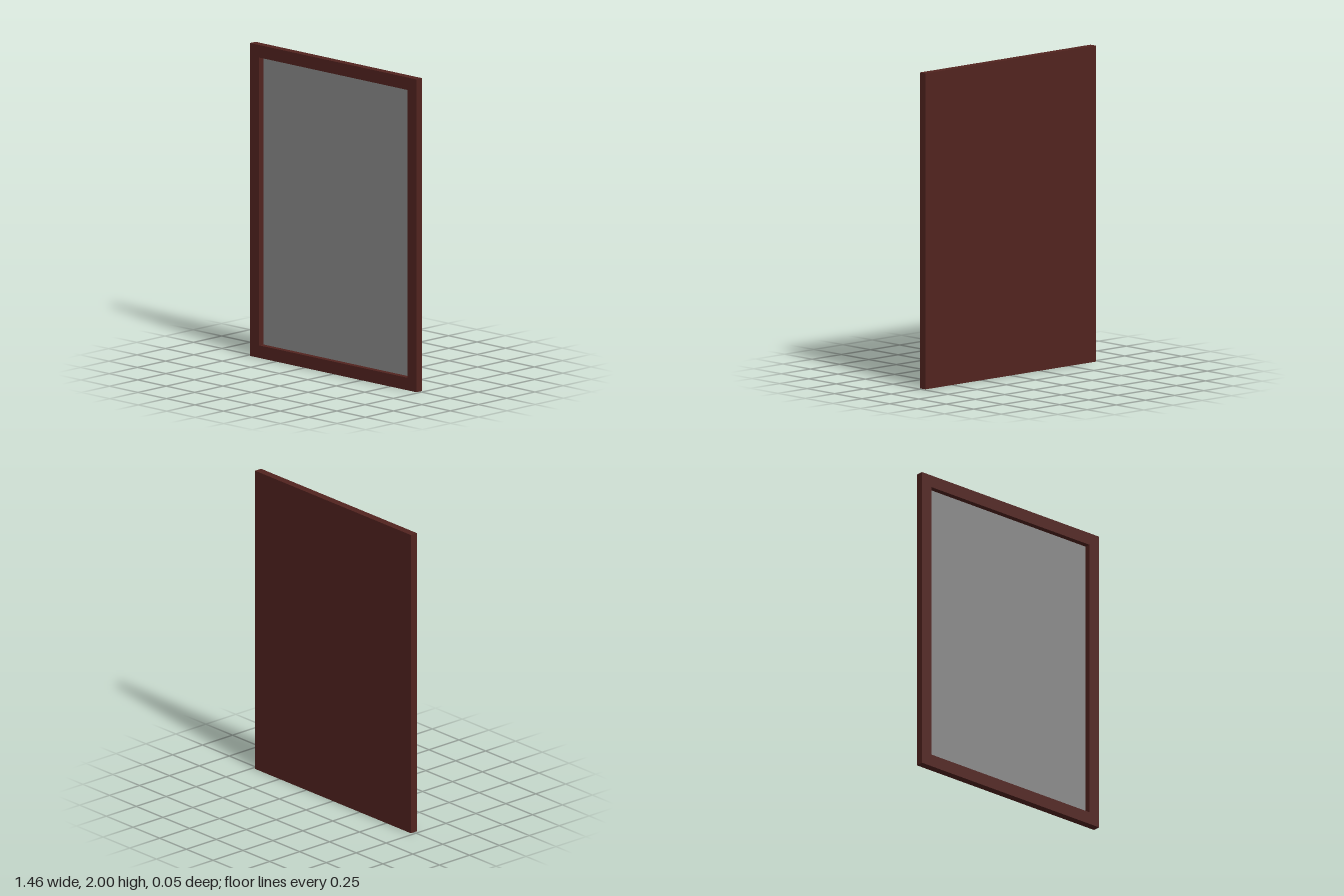
import * as THREE from 'three';

const W = 1.46, H = 2, D = 0.05; // outer size
const BORDER = 0.08;             // width of the frame face
const BACK = 0.01;               // thickness of the backing board
const PANE = 0.003;              // thickness of the inset pane

// Adds a centred rectangle to a shape or path
function rect(path, w, h) {
  path.moveTo(-w / 2, -h / 2);
  path.lineTo(w / 2, -h / 2);
  path.lineTo(w / 2, h / 2);
  path.lineTo(-w / 2, h / 2);
  path.closePath();
  return path;
}

export function createModel() {
  const group = new THREE.Group();
  group.name = 'framedPanel';
  const wood = new THREE.MeshStandardMaterial({ color: 0x52231f });
  const grey = new THREE.MeshStandardMaterial({ color: 0x8a8a8a });

  const add = (name, geometry, material, z) => {
    const mesh = new THREE.Mesh(geometry, material);
    mesh.name = name;
    mesh.position.set(0, H / 2, z);
    group.add(mesh);
  };

  // Border with a rectangular opening
  const innerW = W - 2 * BORDER, innerH = H - 2 * BORDER;
  const border = rect(new THREE.Shape(), W, H);
  border.holes.push(rect(new THREE.Path(), innerW, innerH));
  add('frame', new THREE.ExtrudeGeometry(border, { depth: D - BACK, bevelEnabled: false }), wood, -D / 2 + BACK);

  // Solid board closing the back
  add('backBoard', new THREE.BoxGeometry(W, H, BACK), wood, -D / 2 + BACK / 2);

  // Recessed pane resting on the board
  add('pane', new THREE.BoxGeometry(innerW, innerH, PANE), grey, -D / 2 + BACK + PANE / 2);

  return group;
}
